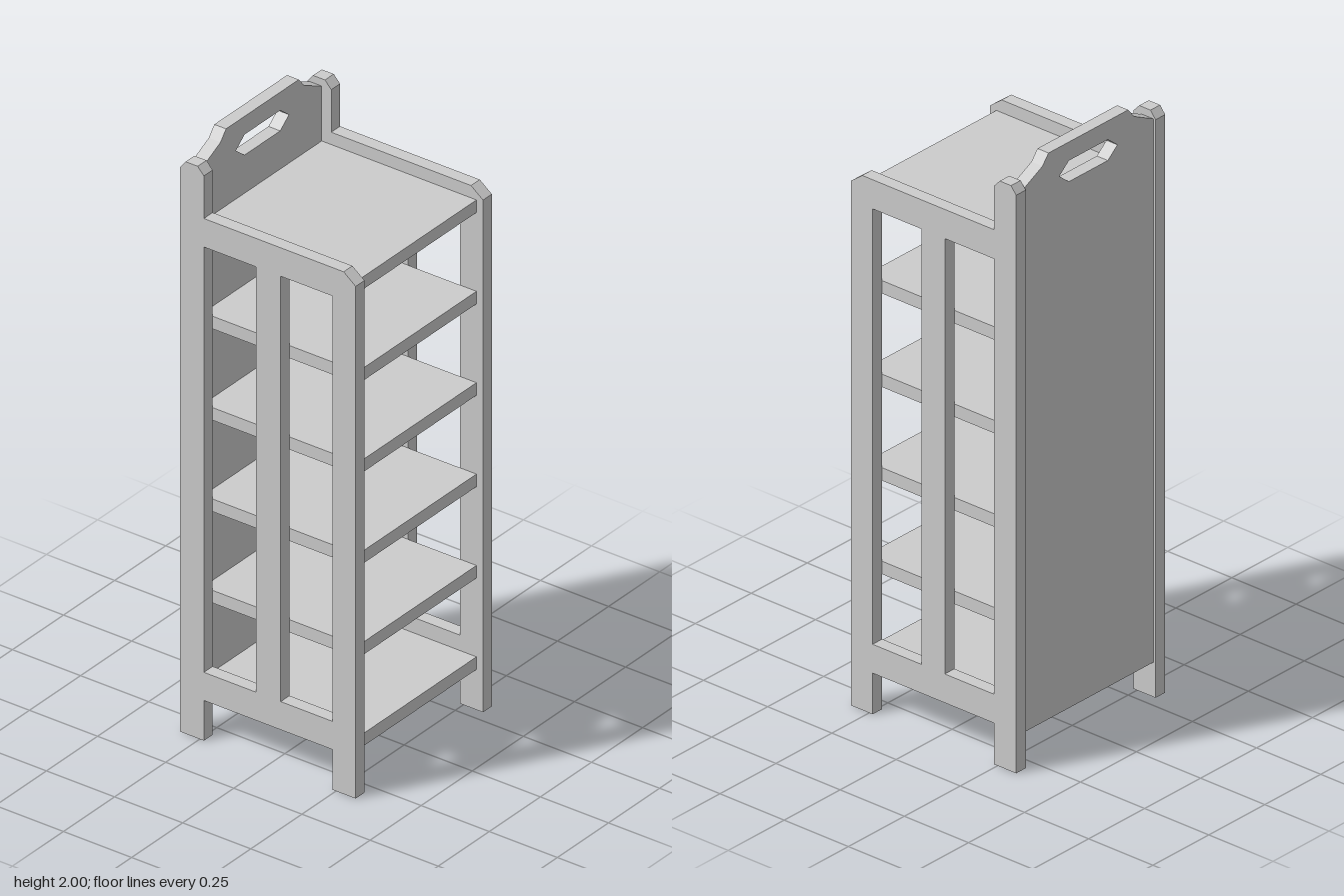
import * as THREE from 'three';

const material = new THREE.MeshStandardMaterial({ color: 0xcccccc, flatShading: true });

const toVectors = (pts) => pts.map(([x, y]) => new THREE.Vector2(x, y));

// Flat board cut from an outline with optional holes
function board(outline, holes, depth) {
  const shape = new THREE.Shape(toVectors(outline));
  for (const hole of holes) shape.holes.push(new THREE.Path(toVectors(hole)));
  return new THREE.ExtrudeGeometry(shape, { depth, bevelEnabled: false });
}

function part(name, geometry, parent) {
  const mesh = new THREE.Mesh(geometry, material);
  mesh.name = name;
  parent.add(mesh);
  return mesh;
}

const rect = (a, b, low, high) => [[a, low], [b, low], [b, high], [a, high]];

export function createModel() {
  const group = new THREE.Group();
  group.name = 'shelfRack';

  const inner = 0.29, outer = 0.333;

  // Side frames: profile drawn in (z, y), extruded along x
  const profile = [
    [0.322, 0], [0.322, 1.746], [0.278, 1.78], [-0.235, 1.78],
    [-0.235, 1.925], [-0.258, 1.95], [-0.302, 1.95], [-0.322, 1.925],
    [-0.322, 0], [-0.235, 0], [-0.235, 0.137], [0.237, 0.137], [0.237, 0],
  ];
  const windows = [rect(0.047, 0.237, 0.233, 1.683), rect(-0.235, -0.044, 0.233, 1.683)];
  const frame = board(profile, windows, outer - inner);
  frame.rotateY(-Math.PI / 2); // profile axis becomes +z, depth runs to -x
  for (const [name, x] of [['leftSideFrame', outer], ['rightSideFrame', -inner]]) {
    part(name, frame, group).position.x = x;
  }

  // Shelves
  const shelfGeometry = new THREE.BoxGeometry(inner * 2, 0.043, 0.568);
  for (let i = 0; i < 6; i++) {
    part(`shelf${i + 1}`, shelfGeometry, group).position.set(0, 0.159 + i * 0.3115, 0.014);
  }

  // Back panel with shaped top and hand hole
  const half = [[inner, 0.115], [inner, 1.925], [0.205, 1.967], [0.178, 2]];
  const mirrored = half.map(([x, y]) => [-x, y]).reverse();
  const handHole = [
    [-0.13, 1.903], [-0.087, 1.868], [0.087, 1.868],
    [0.13, 1.903], [0.087, 1.938], [-0.087, 1.938],
  ];
  part('backPanel', board([...half, ...mirrored], [handHole], 0.043), group).position.z = -0.313;

  return group;
}
